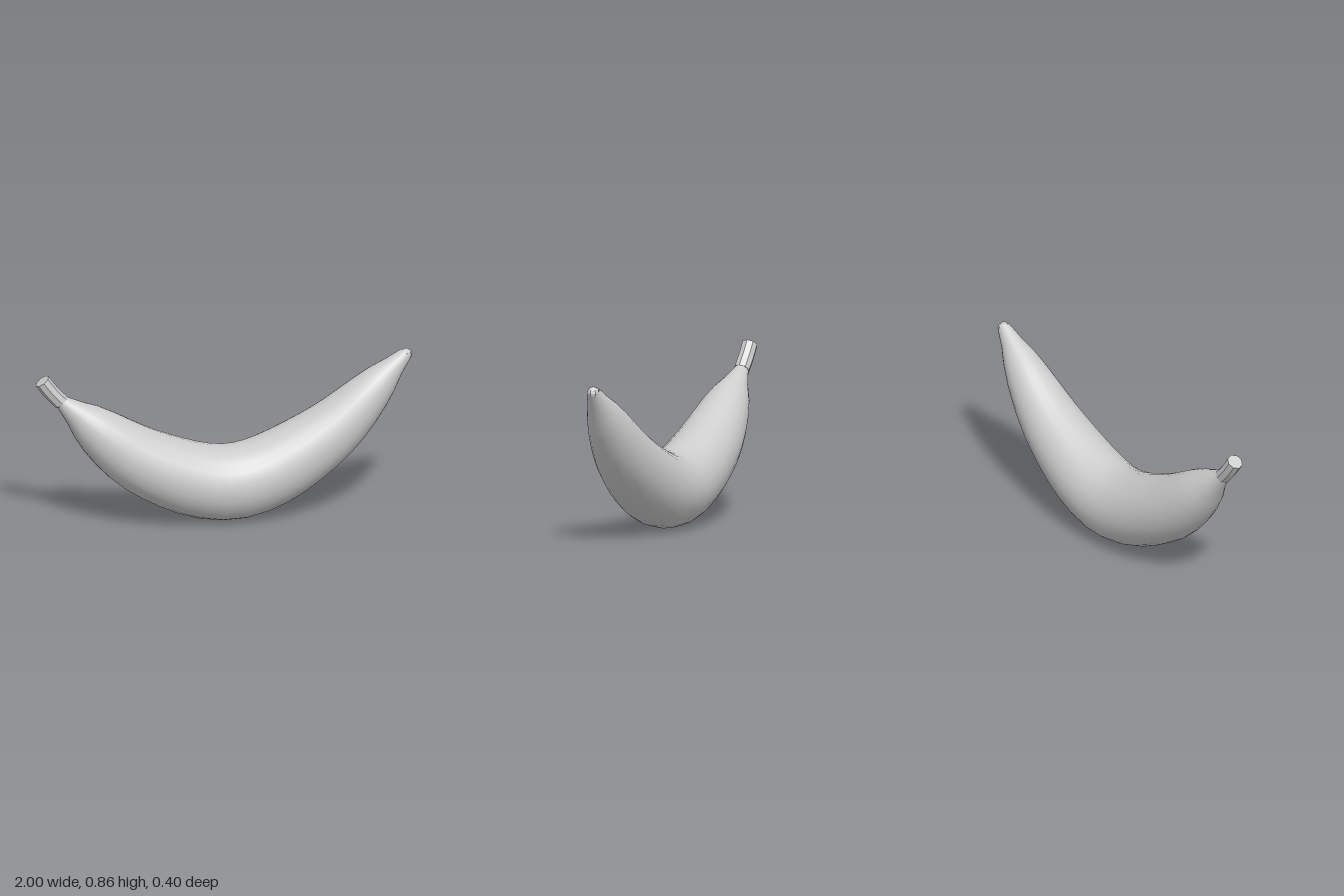
import * as THREE from 'three';
import { mergeVertices } from 'three/addons/utils/BufferGeometryUtils.js';

const V = (x, y) => new THREE.Vector3(x, y, 0);

// Give each face its own normal
function faceted(geometry) {
  const g = geometry.toNonIndexed();
  g.computeVertexNormals();
  return g;
}

// Tube along a curve whose radius follows evenly spaced values
function taperedTube(curve, radii, segments, sides) {
  const tube = new THREE.TubeGeometry(curve, segments, 1, sides, false);
  const profile = new THREE.SplineCurve(radii.map((r, i) => new THREE.Vector2(i, r)));
  const pos = tube.attributes.position;
  const p = new THREE.Vector3();
  for (let i = 0; i <= segments; i++) {
    const centre = curve.getPointAt(i / segments);
    const r = profile.getPoint(i / segments).y;
    for (let j = 0; j <= sides; j++) {
      const k = i * (sides + 1) + j;
      p.fromBufferAttribute(pos, k).sub(centre).multiplyScalar(r).add(centre);
      pos.setXYZ(k, p.x, p.y, p.z);
    }
  }
  tube.deleteAttribute('uv');
  tube.deleteAttribute('normal');
  const smooth = mergeVertices(tube, 1e-4);
  smooth.computeVertexNormals();
  return smooth;
}

export function createModel() {
  const group = new THREE.Group();
  group.name = 'banana';
  const grey = new THREE.MeshStandardMaterial({ color: 0xcccccc });
  grey.name = 'light grey';

  const add = (name, geometry, parent = group) => {
    const mesh = new THREE.Mesh(geometry, grey);
    mesh.name = name;
    parent.add(mesh);
    return mesh;
  };

  // Curved fruit, thickest in the middle
  const spine = new THREE.CatmullRomCurve3([
    V(-0.865, 0.71), V(-0.405, 0.337), V(0.05, 0.2), V(0.508, 0.397), V(0.967, 0.832),
  ]);
  const radii = [0.036, 0.115, 0.16, 0.184, 0.196, 0.2, 0.192, 0.172, 0.143, 0.1, 0.034];
  add('fruit', taperedTube(spine, radii, 24, 24));

  // Bent eight-sided stem with flat ends
  const stem = new THREE.Group();
  stem.name = 'stem';
  group.add(stem);
  const stemPath = new THREE.CatmullRomCurve3([V(-0.865, 0.71), V(-0.918, 0.768), V(-0.965, 0.832)]);
  const stemRadius = 0.042;
  add('stemSides', faceted(new THREE.TubeGeometry(stemPath, 4, stemRadius, 8, false)), stem);
  for (const [name, t, sign] of [['stemBase', 0, -1], ['stemTip', 1, 1]]) {
    const cap = add(name, new THREE.CircleGeometry(stemRadius, 8), stem);
    cap.position.copy(stemPath.getPointAt(t));
    const outward = stemPath.getTangentAt(t).multiplyScalar(sign);
    cap.lookAt(cap.position.clone().add(outward));
  }

  // Small knob at the blossom end
  const knob = add('blossomEnd', faceted(new THREE.SphereGeometry(0.034, 8, 6)));
  knob.position.set(0.965, 0.826, 0);

  return group;
}
